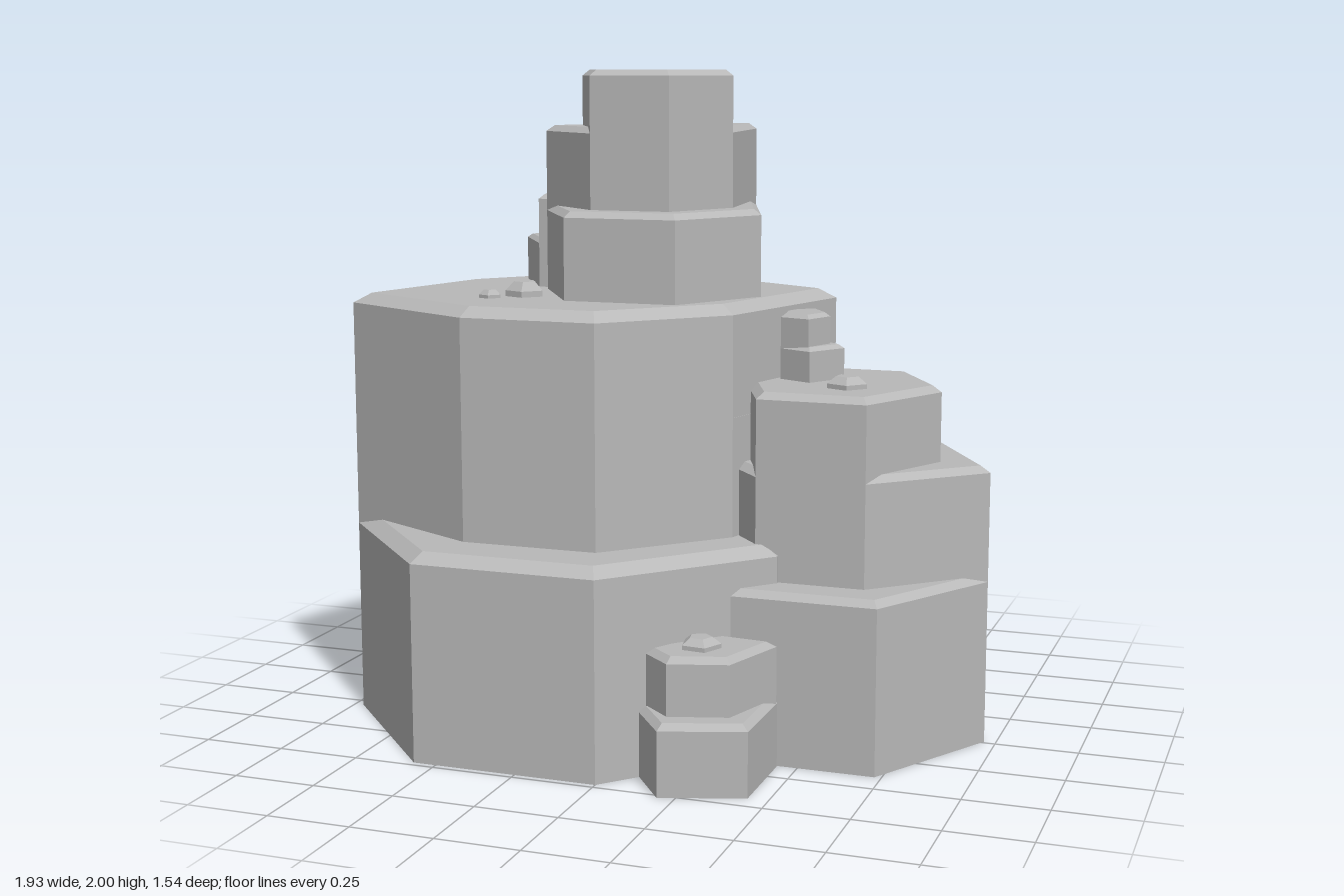
import * as THREE from 'three';

const stone = new THREE.MeshStandardMaterial({ color: 0xb8b8b8 });
stone.name = 'stone grey';

// Moves every edge of a convex outline inwards by w (outline runs from +x towards -z)
function inset(pts, w) {
  const n = pts.length;
  const normal = (a, b) => new THREE.Vector2(a[1] - b[1], b[0] - a[0]).normalize();
  return pts.map((p, i) => {
    const n1 = normal(pts[(i + n - 1) % n], p), n2 = normal(p, pts[(i + 1) % n]);
    const k = w / (1 + n1.dot(n2));
    return [p[0] - (n1.x + n2.x) * k, p[1] - (n1.y + n2.y) * k];
  });
}

// Flat-faced block over an [x, z] outline, with a bevelled top rim
function block(name, outline, y0, y1, width = 0.045, drop = 0.03) {
  let pts = outline, area = 0;
  pts.forEach((p, i) => {
    const q = pts[(i + 1) % pts.length];
    area += p[0] * q[1] - q[0] * p[1];
  });
  if (area > 0) pts = [...pts].reverse();
  const at = (ps, y) => ps.map(([x, z]) => [x, y, z]);
  const rings = [at(pts, y0), at(pts, y1 - drop), at(inset(pts, width), y1)];
  const pos = [];
  const tri = (...v) => v.forEach((p) => pos.push(...p));
  const n = pts.length;
  for (let r = 0; r < 2; r++) {
    for (let i = 0; i < n; i++) {
      const j = (i + 1) % n, lo = rings[r], hi = rings[r + 1];
      tri(lo[i], lo[j], hi[j]);
      tri(lo[i], hi[j], hi[i]);
    }
  }
  for (let i = 1; i < n - 1; i++) {
    tri(rings[2][0], rings[2][i], rings[2][i + 1]);
    tri(rings[0][0], rings[0][i + 1], rings[0][i]);
  }
  const g = new THREE.BufferGeometry();
  g.setAttribute('position', new THREE.Float32BufferAttribute(pos, 3));
  g.computeVertexNormals();
  const mesh = new THREE.Mesh(g, stone);
  mesh.name = name;
  return mesh;
}

// Stack of blocks: each tier starts where the bevel of the one below begins
function column(name, y0, tiers, width, drop) {
  const group = new THREE.Group();
  group.name = name;
  let y = y0;
  tiers.forEach(([outline, top], i) => {
    group.add(block(`${name}Tier${i + 1}`, outline, y, top, width, drop));
    y = top - drop;
  });
  return group;
}

// Small five-sided stone
function pebble(x, z, y, r, h, turn) {
  const pts = [];
  for (let i = 0; i < 5; i++) {
    const a = turn + (i * Math.PI * 2) / 5;
    pts.push([x + r * Math.cos(a), z + r * Math.sin(a)]);
  }
  return block('pebble', pts, y - 0.01, y + h, r * 0.35, h * 0.6);
}

export function createModel() {
  const model = new THREE.Group();
  model.name = 'rockFormation';

  // Main rock: the front ledge is low, the back ledge is high
  const baseFront = [[-0.57, 0.73], [0, 0.73], [0.4, 0.29]];
  const baseBack = [[0.4, -0.33], [0, -0.77], [-0.57, -0.77], [-0.97, -0.33], [-0.97, 0.29]];
  const topFront = [[-0.49, 0.54], [-0.07, 0.54], [0.24, 0.22]];
  const topBack = [[0.4, -0.34], [-0.07, -0.6], [-0.53, -0.6], [-0.83, -0.24], [-0.97, 0.29]];
  model.add(column('mainRock', 0, [
    [[...baseFront, ...baseBack], 0.625],
    [[...topFront, ...baseBack], 1.015],
    [[...topFront, ...topBack], 1.32],
  ], 0.045, 0.03));

  // Peak on the main rock
  const peakFront = [[-0.22, 0.19], [0.03, 0.19], [0.15, -0.05]];
  model.add(column('peak', 1.29, [
    [[[-0.27, 0.28], [0.08, 0.28], [0.25, -0.02], [0.09, -0.48], [-0.26, -0.48], [-0.45, -0.02]], 1.585],
    [[...peakFront, [0.09, -0.48], [-0.26, -0.48], [-0.45, -0.02]], 1.83],
    [[...peakFront, [0.03, -0.39], [-0.21, -0.39], [-0.34, -0.05]], 2],
  ], 0.022, 0.018));

  // Spur beside the peak
  model.add(column('peakSpur', 1.29, [
    [[[-0.635, -0.29], [-0.49, -0.37], [-0.25, -0.33], [-0.3, -0.06], [-0.5, -0.07]], 1.47],
    [[[-0.56, -0.27], [-0.5, -0.31], [-0.25, -0.32], [-0.3, -0.06], [-0.5, -0.07]], 1.61],
  ], 0.015, 0.012));

  // Side rock on the left
  const sideFront = [[0.33, 0.28], [0.66, 0.28]];
  const sideBack = [[0.965, -0.01], [0.73, -0.42], [0.27, -0.42], [0.08, -0.01]];
  model.add(column('sideRock', 0, [
    [[[0.29, 0.405], [0.73, 0.405], ...sideBack], 0.515],
    [[...sideFront, ...sideBack], 0.845],
    [[...sideFront, [0.81, -0.03], [0.65, -0.3], [0.36, -0.3], [0.2, -0.03]], 1.075],
  ], 0.025, 0.02));

  // Spur on the side rock
  model.add(column('sideSpur', 1.05, [
    [[[0.3, -0.12], [0.39, -0.17], [0.5, -0.07], [0.425, 0.05], [0.32, 0]], 1.18],
    [[[0.3, -0.12], [0.39, -0.17], [0.455, -0.07], [0.415, 0.03], [0.32, 0]], 1.275],
  ], 0.015, 0.012));

  // Little rock at the front
  model.add(column('frontRock', 0, [
    [[[0.09, 0.62], [0.2, 0.77], [0.44, 0.69], [0.44, 0.41], [0.22, 0.4]], 0.21],
    [[[0.11, 0.61], [0.2, 0.69], [0.37, 0.64], [0.44, 0.42], [0.22, 0.4]], 0.38],
  ], 0.02, 0.018));

  // Loose pebbles on the ledges
  [
    [0.555, 0.1, 1.075, 0.062, 0.035, 0.1],
    [-0.435, 0.19, 1.32, 0.06, 0.045, 0.1],
    [-0.515, 0.27, 1.32, 0.035, 0.025, 0.1],
    [0.255, 0.555, 0.38, 0.06, 0.032, -0.2],
  ].forEach((p) => model.add(pebble(...p)));

  return model;
}
